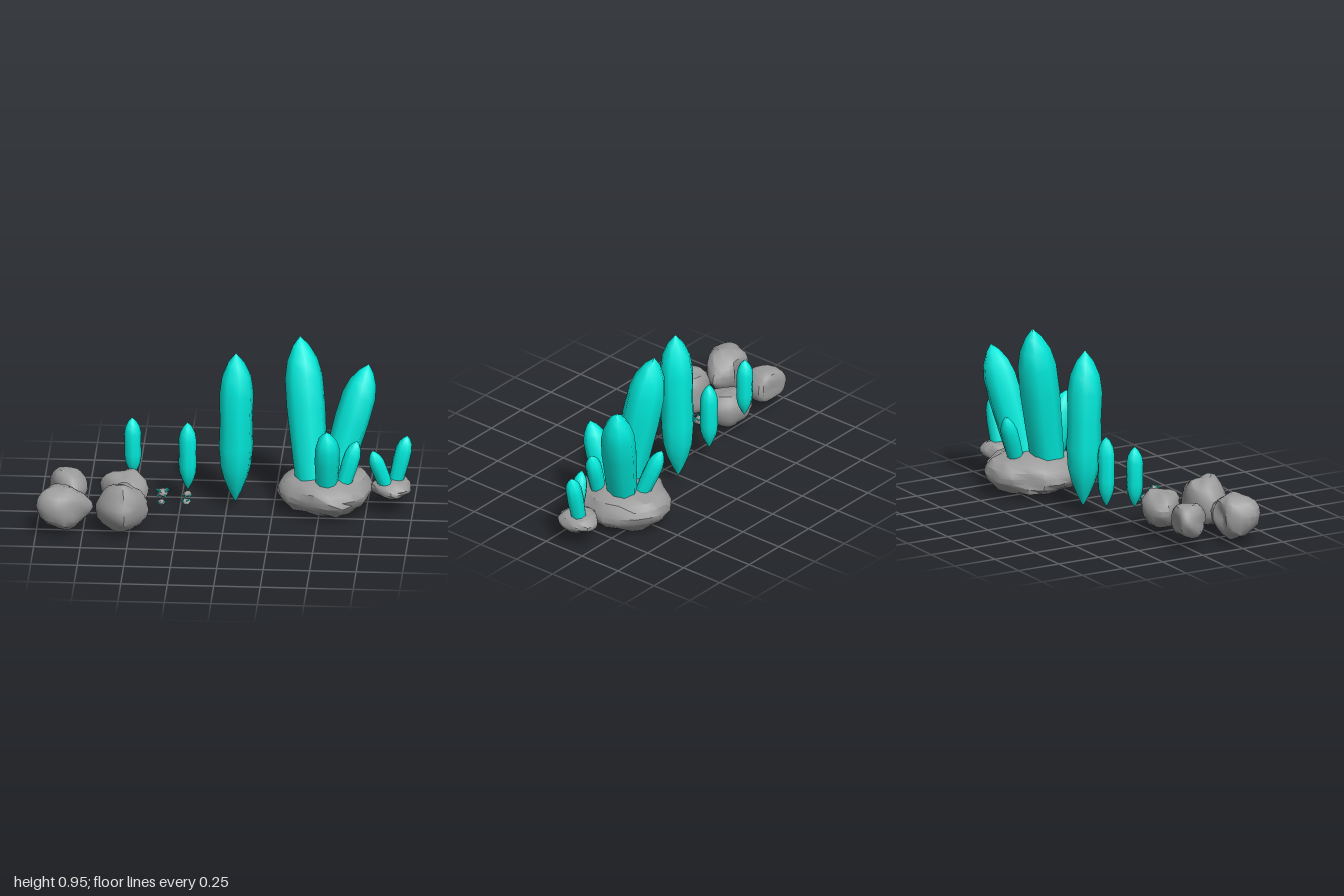
import * as THREE from 'three';
import { toCreasedNormals } from 'three/addons/utils/BufferGeometryUtils.js';

const stone = new THREE.MeshStandardMaterial({ color: 0x9c9c9c });
const teal = new THREE.MeshStandardMaterial({ color: 0x00ebdc });

function seeded(seed) {
  let s = seed * 7919 + 17;
  return () => ((s = (s * 16807) % 2147483647) / 2147483647);
}

// Crystal silhouettes: [fraction of length, fraction of radius]
const WHOLE = [[0, 0], [0.08, 0.38], [0.16, 0.68], [0.25, 0.9], [0.38, 1], [0.55, 0.95], [0.73, 1], [0.84, 0.85], [0.93, 0.5], [1, 0]];
const ROOTED = [[0, 0], [0.01, 0.82], [0.3, 0.92], [0.55, 1], [0.74, 0.97], [0.85, 0.78], [0.94, 0.42], [1, 0]];

// Eight-sided crystal from a base point to its tip
function crystal(name, base, tip, radius, profile, turn = 0) {
  const a = new THREE.Vector3(...base), b = new THREE.Vector3(...tip);
  const dir = b.clone().sub(a), length = dir.length();
  const geo = new THREE.LatheGeometry(profile.map(([t, r]) => new THREE.Vector2(r * radius, t * length)), 8);
  const p = geo.attributes.position;
  for (let i = 0; i < p.count; i++) {
    const k = 1 + 0.04 * Math.cos(3 * Math.atan2(p.getZ(i), p.getX(i)) + turn);
    p.setX(i, p.getX(i) * k);
    p.setZ(i, p.getZ(i) * k);
  }
  geo.rotateY(turn);
  const mesh = new THREE.Mesh(toCreasedNormals(geo, 1.1), teal);
  mesh.name = name;
  mesh.position.copy(a);
  mesh.quaternion.setFromUnitVectors(new THREE.Vector3(0, 1, 0), dir.normalize());
  return mesh;
}

// Lumpy stone: plan outline (left, front, right, back), height range and flatness
function rock(name, outline, y0, y1, { seed = 1, flat = 0.85, waist = 0.5, bumps = 0.06, freq = 22 } = {}) {
  const points = outline.map(([x, z]) => new THREE.Vector3(x, 0, z));
  const curve = new THREE.CatmullRomCurve3(points, true);
  const centre = new THREE.Vector3();
  points.forEach((q) => centre.addScaledVector(q, 1 / points.length));
  const meanRadius = points.reduce((sum, q) => sum + q.distanceTo(centre), 0) / points.length;
  const mid = y0 + (y1 - y0) * waist;
  const geo = new THREE.SphereGeometry(1, 20, 11);
  const p = geo.attributes.position, uv = geo.attributes.uv;
  const wave = (x, y, z, f) => (Math.sin(f * (x + 0.6 * y) + seed * 2.1) + Math.sin(f * (1.2 * z - 0.8 * y) + seed * 3.7)
    + Math.sin(f * (1.1 * x - 1.1 * z + 1.3 * y) + seed)) / 3;
  for (let i = 0; i < p.count; i++) {
    const c = p.getY(i);
    const spread = Math.pow(Math.max(0, 1 - c * c), flat / 2);
    const v = curve.getPoint(uv.getX(i) % 1).sub(centre);
    // The outline rounds off towards the top and bottom
    v.lerp(v.clone().setLength(meanRadius), Math.min(1, 0.9 * Math.abs(c))).multiplyScalar(spread);
    const y = mid + c * (c > 0 ? y1 - mid : mid - y0);
    const n = wave(v.x, y, v.z, freq) + 0.7 * wave(v.z, y, v.x, freq * 2.1);
    v.multiplyScalar(1 + bumps * n);
    p.setXYZ(i, centre.x + v.x, mid + (y - mid) * (1 + bumps * 2 * (n - 0.15)), centre.z + v.z);
  }
  const mesh = new THREE.Mesh(toCreasedNormals(geo, 0.6), stone);
  mesh.name = name;
  return mesh;
}

// Small pebble bristling with tiny crystals
function crystalPebble(x, y, z, r, seed) {
  const group = new THREE.Group(), rand = seeded(seed);
  group.name = 'crystalPebble';
  const ring = [...Array(7)].map((_, i) => {
    const a = Math.PI - (i / 7) * Math.PI * 2, k = r * (0.65 + 0.2 * rand());
    return [k * Math.cos(a), k * Math.sin(a)];
  });
  group.add(rock('pebble', ring, -r * 0.5, r * 0.5, { seed, bumps: 0.08, freq: 150 }));
  for (let i = 0; i < 10; i++) {
    const a = i * 2.4 + rand() * 0.5, lift = (rand() - 0.45) * 1.5;
    const d = new THREE.Vector3(Math.cos(a), lift, Math.sin(a)).normalize().multiply(new THREE.Vector3(1, 0.85, 1));
    group.add(crystal('pebbleCrystal', d.clone().multiplyScalar(r * 0.4).toArray(),
      d.clone().multiplyScalar(r * (0.9 + 0.2 * rand())).toArray(), r * 0.15, ROOTED));
  }
  group.position.set(x, y, z);
  return group;
}

export function createModel() {
  const model = new THREE.Group();
  model.name = 'crystalsAndRocks';

  // Large crystal cluster
  const large = new THREE.Group();
  large.name = 'largeCluster';
  large.add(
    rock('largeClusterBase', [[0.27, -0.15], [0.32, 0], [0.45, 0.08], [0.6, 0.11], [0.71, 0.05], [0.775, -0.12],
      [0.75, -0.28], [0.64, -0.4], [0.54, -0.425], [0.42, -0.4], [0.34, -0.28]], 0.01, 0.235,
    { seed: 3, flat: 0.7, waist: 0.46, bumps: 0.06, freq: 20 }),
    crystal('tallCrystal', [0.46, 0.12, -0.1], [0.385, 0.96, -0.245], 0.107, ROOTED, 0.3),
    crystal('leaningCrystal', [0.565, 0.12, -0.18], [0.755, 0.79, -0.285], 0.094, ROOTED, 0.8),
    crystal('frontCrystal', [0.54, 0.12, -0.045], [0.55, 0.53, 0.065], 0.068, ROOTED, 0.2),
    crystal('sideCrystal', [0.615, 0.12, -0.06], [0.705, 0.43, -0.07], 0.047, ROOTED, 0.5),
    crystal('backCrystal', [0.53, 0.12, -0.24], [0.465, 0.465, -0.365], 0.047, ROOTED, 1),
  );

  // Small crystal cluster
  const small = new THREE.Group();
  small.name = 'smallCluster';
  small.add(
    rock('smallClusterBase', [[0.775, -0.15], [0.81, -0.06], [0.89, -0.02], [0.97, -0.05], [0.99, -0.15],
      [0.96, -0.235], [0.87, -0.245], [0.82, -0.2]], 0.09, 0.195, { seed: 5, flat: 0.75, bumps: 0.06, freq: 44 }),
    crystal('outerCrystal', [0.895, 0.12, -0.15], [0.97, 0.435, -0.15], 0.048, ROOTED, 0.4),
    crystal('innerCrystal', [0.875, 0.12, -0.1], [0.785, 0.375, -0.07], 0.042, ROOTED, 0.9),
  );

  // Free-standing crystals
  model.add(
    large, small,
    crystal('largeCrystal', [0.045, 0.035, -0.13], [0.05, 0.905, -0.115], 0.095, WHOLE, 0.3),
    crystal('mediumCrystal', [-0.21, 0.098, -0.135], [-0.21, 0.49, -0.135], 0.049, WHOLE, 0.7),
    crystal('smallCrystal', [-0.505, 0.17, -0.135], [-0.51, 0.51, -0.135], 0.046, WHOLE, 0.1),
  );

  // Boulders
  model.add(
    rock('backRightBoulder', [[-0.95, -0.05], [-0.92, 0.03], [-0.81, 0.125], [-0.755, 0.07], [-0.75, -0.05],
      [-0.84, -0.06], [-0.92, -0.085]], 0.065, 0.255, { seed: 2, flat: 0.75 }),
    rock('backLeftBoulder', [[-0.68, -0.02], [-0.62, 0.06], [-0.52, 0.13], [-0.44, 0.1], [-0.41, 0.02],
      [-0.48, -0.08], [-0.62, -0.085]], 0.05, 0.26, { seed: 4 }),
    rock('frontRightBoulder', [[-1, 0.3], [-0.97, 0.38], [-0.88, 0.405], [-0.78, 0.35], [-0.69, 0.24],
      [-0.79, 0.175], [-0.86, 0.215], [-0.94, 0.19]], 0.035, 0.275, { seed: 6, flat: 0.75 }),
    rock('frontLeftBoulder', [[-0.68, 0.28], [-0.63, 0.36], [-0.52, 0.415], [-0.43, 0.31], [-0.4, 0.22],
      [-0.47, 0.195], [-0.54, 0.175], [-0.65, 0.21]], 0.018, 0.29, { seed: 8 }),
  );

  // Crystal pebbles
  [[-0.335, 0.15, 0.035, 0.041], [-0.2, 0.155, 0.06, 0.03], [-0.335, 0.148, 0.172, 0.027], [-0.2, 0.152, 0.168, 0.031]]
    .forEach(([x, y, z, r], i) => model.add(crystalPebble(x, y, z, r, i + 1)));

  return model;
}
